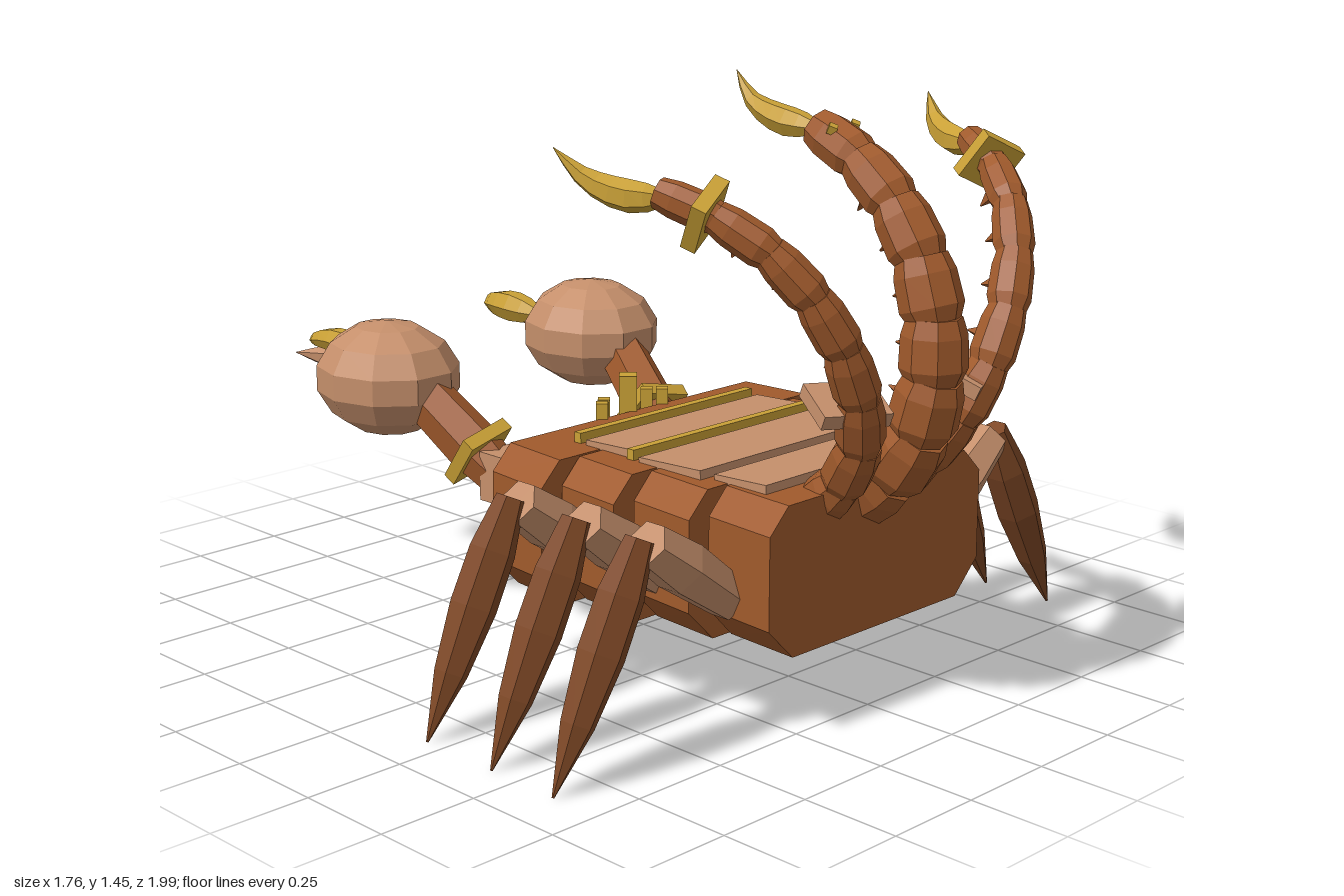
import * as THREE from 'three';

const paint = (name, color) => {
  const m = new THREE.MeshStandardMaterial({ color });
  m.name = name;
  return m;
};
const V = (x, y, z) => new THREE.Vector3(x, y, z);

// faceted copy of a geometry
function facet(geo) {
  const g = geo.index ? geo.toNonIndexed() : geo;
  g.computeVertexNormals();
  return g;
}

function add(parent, name, geo, mat, pos = [0, 0, 0], rot = [0, 0, 0]) {
  const mesh = new THREE.Mesh(facet(geo), mat);
  mesh.name = name;
  mesh.position.set(...pos);
  mesh.rotation.set(...rot);
  parent.add(mesh);
  return mesh;
}

// faceted limb from a to b; profile is a list of [radius, fraction along]
function limb(parent, name, a, b, profile, sides, mat) {
  const len = a.distanceTo(b);
  const pts = [[0, profile[0][1]], ...profile, [0, profile[profile.length - 1][1]]];
  const geo = new THREE.LatheGeometry(pts.map(([r, t]) => new THREE.Vector2(r, t * len)), sides);
  const mesh = add(parent, name, geo, mat, a.toArray());
  mesh.quaternion.setFromUnitVectors(V(0, 1, 0), b.clone().sub(a).normalize());
  return mesh;
}

// curved horn: a tube whose rings shrink towards the tip
function horn(parent, name, points, radius, mat) {
  const curve = new THREE.CatmullRomCurve3(points.map((p) => V(...p)));
  const n = 7, sides = 6;
  const geo = new THREE.TubeGeometry(curve, n, radius, sides);
  const scale = [0.45, 0.85, 1, 0.95, 0.8, 0.58, 0.32, 0.02];
  const pos = geo.attributes.position, v = V(0, 0, 0);
  for (let i = 0; i < pos.count; i++) {
    const ring = Math.floor(i / (sides + 1));
    const c = curve.getPointAt(ring / n);
    v.fromBufferAttribute(pos, i).sub(c).multiplyScalar(scale[ring]).add(c);
    pos.setXYZ(i, v.x, v.y, v.z);
  }
  return add(parent, name, geo, mat);
}

// body ring with clipped corners, slightly narrower at its -z end
function bodyRing(w, depth) {
  const s = new THREE.Shape();
  [[-w + 0.08, 0.2], [w - 0.08, 0.2], [w, 0.28], [w, 0.5], [w - 0.06, 0.56],
    [-w + 0.06, 0.56], [-w, 0.5], [-w, 0.28]].forEach(([x, y], i) => (i ? s.lineTo(x, y) : s.moveTo(x, y)));
  const geo = new THREE.ExtrudeGeometry(s, { depth, bevelEnabled: false });
  const p = geo.attributes.position;
  for (let i = 0; i < p.count; i++) if (p.getZ(i) < 0.001) p.setX(i, p.getX(i) * 0.96);
  return geo;
}

// square collar around a limb
function collar(parent, name, at, dir, size, mat) {
  const m = add(parent, name, new THREE.BoxGeometry(size, 0.035, size), mat, at.toArray());
  m.quaternion.setFromUnitVectors(V(0, 1, 0), dir.clone().normalize());
}

export function createModel() {
  const root = new THREE.Group();
  root.name = 'threeTailedScorpion';
  const brown = paint('shellBrown', 0xa05a2c);
  const dark = paint('legBrown', 0x7d4725);
  const tan = paint('tan', 0xc58f6b);
  const gold = paint('gold', 0xc9a036);

  // body
  const body = new THREE.Group();
  body.name = 'body';
  root.add(body);
  [0.49, 0.45, 0.41, 0.37].forEach((w, i) => {
    add(body, 'bodySegment', bodyRing(w, i < 3 ? 0.193 : 0.2), brown, [0, 0, -0.035 + i * 0.202]);
  });
  add(body, 'bodyCore', new THREE.BoxGeometry(0.6, 0.3, 0.76), brown, [0, 0.38, 0.365]);
  [[0.3, 0.19, 0.16], [0.31, 0.4, 0.2], [0.285, 0.6, 0.16]].forEach(([w, z, d]) =>
    add(body, 'backPlate', new THREE.BoxGeometry(w * 2, 0.03, d), tan, [0, 0.562, z], [-0.05, 0, 0]));
  [[0.3, 0.08], [0.31, 0.272]].forEach(([w, z]) =>
    add(body, 'goldBand', new THREE.BoxGeometry(w * 2, 0.035, 0.022), gold, [0, 0.568, z]));

  // head: tapered block, brow plate, studs and mouth fangs
  const head = new THREE.Group();
  head.name = 'head';
  root.add(head);
  const skull = new THREE.BoxGeometry(0.38, 0.18, 0.22);
  const sp = skull.attributes.position;
  for (let i = 0; i < sp.count; i++) {
    if (sp.getZ(i) < 0) sp.setXYZ(i, sp.getX(i) * 0.72, sp.getY(i) * 0.75, sp.getZ(i));
  }
  add(head, 'skull', skull, tan, [0, 0.395, -0.125]);
  add(head, 'upperLip', new THREE.BoxGeometry(0.29, 0.03, 0.025), tan, [0, 0.43, -0.235]);
  add(head, 'browPlate', new THREE.BoxGeometry(0.33, 0.035, 0.1), gold, [0, 0.495, -0.072]);
  add(head, 'centreStud', new THREE.BoxGeometry(0.045, 0.15, 0.045), gold, [0, 0.575, -0.055], [0, Math.PI / 4, 0]);
  for (const s of [-1, 1]) {
    add(head, 'sideStud', new THREE.BoxGeometry(0.03, 0.1, 0.03), gold, [s * 0.075, 0.55, -0.065], [0, Math.PI / 4, 0]);
    add(head, 'sideStud', new THREE.BoxGeometry(0.03, 0.1, 0.03), gold, [s * 0.105, 0.55, -0.04], [0, Math.PI / 4, 0]);
    limb(head, 'fang', V(s * 0.13, 0.32, -0.1), V(s * 0.075, 0.3, -0.33),
      [[0.035, 0], [0.03, 0.65], [0.015, 1]], 4, tan);
  }

  // legs
  for (const s of [-1, 1]) {
    for (const z of [0.2, 0.42, 0.62]) {
      const leg = new THREE.Group();
      leg.name = s > 0 ? 'leftLeg' : 'rightLeg';
      root.add(leg);
      limb(leg, 'upperLeg', V(s * 0.34, 0.315, z), V(s * 0.6, 0.505, z),
        [[0.055, 0], [0.068, 0.6], [0.055, 1]], 6, tan);
      limb(leg, 'lowerLeg', V(s * 0.62, 0.52, z), V(s * 0.88, 0, z),
        [[0.035, 0], [0.055, 0.22], [0.056, 0.45], [0.04, 0.72], [0.003, 1]], 6, dark);
    }
  }

  // claw arms
  for (const s of [-1, 1]) {
    const arm = new THREE.Group();
    arm.name = s > 0 ? 'leftClawArm' : 'rightClawArm';
    root.add(arm);
    add(arm, 'shoulder', new THREE.BoxGeometry(0.13, 0.125, 0.22), tan, [s * 0.28, 0.42, -0.12]);
    const a = V(s * 0.285, 0.4, -0.2), b = V(s * 0.345, 0.59, -0.44);
    limb(arm, 'forearm', a, b, [[0.055, 0], [0.07, 0.4], [0.065, 1]], 6, brown);
    collar(arm, 'armCollar', a.clone().lerp(b, 0.34), b.clone().sub(a), 0.145, gold);
    const palm = add(arm, 'palm', new THREE.SphereGeometry(1, 10, 7), tan, [s * 0.357, 0.615, -0.57]);
    palm.scale.set(0.18, 0.148, 0.2);
  }
  horn(root, 'leftClawThumb', [[0.26, 0.66, -0.68], [0.265, 0.665, -0.82], [0.3, 0.65, -0.92], [0.36, 0.625, -0.99]], 0.043, gold);
  horn(root, 'leftClawFinger', [[0.41, 0.58, -0.68], [0.435, 0.59, -0.81], [0.42, 0.6, -0.9], [0.36, 0.61, -0.96]], 0.06, tan);
  horn(root, 'rightClawThumb', [[-0.34, 0.66, -0.68], [-0.335, 0.665, -0.82], [-0.325, 0.65, -0.91], [-0.29, 0.625, -0.99]], 0.035, gold);
  horn(root, 'rightClawFinger', [[-0.28, 0.58, -0.68], [-0.27, 0.59, -0.81], [-0.3, 0.6, -0.89], [-0.36, 0.61, -0.96]], 0.055, tan);

  // tails: barrel segments strung along a curve, with thorns on the inner side
  function tail(name, pts, count, r0, r1) {
    const g = new THREE.Group();
    g.name = name;
    root.add(g);
    const curve = new THREE.CatmullRomCurve3(pts.map((p) => V(...p)));
    for (let i = 0; i < count; i++) {
      const a = curve.getPointAt(i / count), b = curve.getPointAt((i + 1) / count);
      const r = r0 + (r1 - r0) * (i / (count - 1)) ** 1.4;
      limb(g, 'tailSegment', a, b, [[r * 0.78, -0.06], [r, 0.2], [r * 0.96, 0.75], [r * 0.8, 1.05]], 8, brown);
      if (i > 1 && i < count - 1) {
        const dir = b.clone().sub(a).normalize();
        const inward = V(0, 0.9, 0.3).sub(V(0, a.y, a.z)).projectOnPlane(dir).normalize();
        const m = a.clone().lerp(b, 0.5);
        limb(g, 'thorn', m.clone().addScaledVector(inward, r * 0.8), m.clone().addScaledVector(inward, r + 0.03),
          [[0.018, 0], [0.002, 1]], 4, brown);
      }
    }
    return g;
  }

  const mid = tail('centreTail', [[0, 0.5, 0.69], [0, 0.59, 0.82], [0, 0.72, 0.895], [0, 0.88, 0.92], [0, 1.02, 0.9],
    [0, 1.15, 0.835], [0, 1.26, 0.73], [0, 1.34, 0.57]], 8, 0.088, 0.058);
  horn(mid, 'centreStinger', [[0, 1.34, 0.56], [0, 1.35, 0.45], [0, 1.385, 0.36], [0, 1.45, 0.31]], 0.036, gold);
  for (const s of [-1, 1]) {
    add(mid, 'tailStud', new THREE.BoxGeometry(0.02, 0.02, 0.02), gold, [s * 0.038, 1.35, 0.64], [0.5, 0.7, 0]);

    const g = tail(s > 0 ? 'leftTail' : 'rightTail', [[s * 0.135, 0.49, 0.68], [s * 0.155, 0.62, 0.82],
      [s * 0.21, 0.77, 0.89], [s * 0.285, 0.93, 0.9], [s * 0.37, 1.08, 0.85], [s * 0.45, 1.19, 0.75],
      [s * 0.53, 1.26, 0.59]], 8, 0.06, 0.043);
    collar(g, 'tailCollar', V(s * 0.487, 1.222, 0.68), V(s * 0.45, 0.4, -0.85), 0.12, gold);
    horn(g, 'sideStinger', [[s * 0.525, 1.25, 0.6], [s * 0.56, 1.25, 0.51], [s * 0.595, 1.28, 0.43], [s * 0.635, 1.345, 0.37]], 0.037, gold);
    add(g, 'tailPlate', new THREE.BoxGeometry(0.17, 0.035, 0.12), tan, [s * 0.21, 0.785, 0.845], [0.45, s * 0.35, s * -0.1]);
  }
  return root;
}
